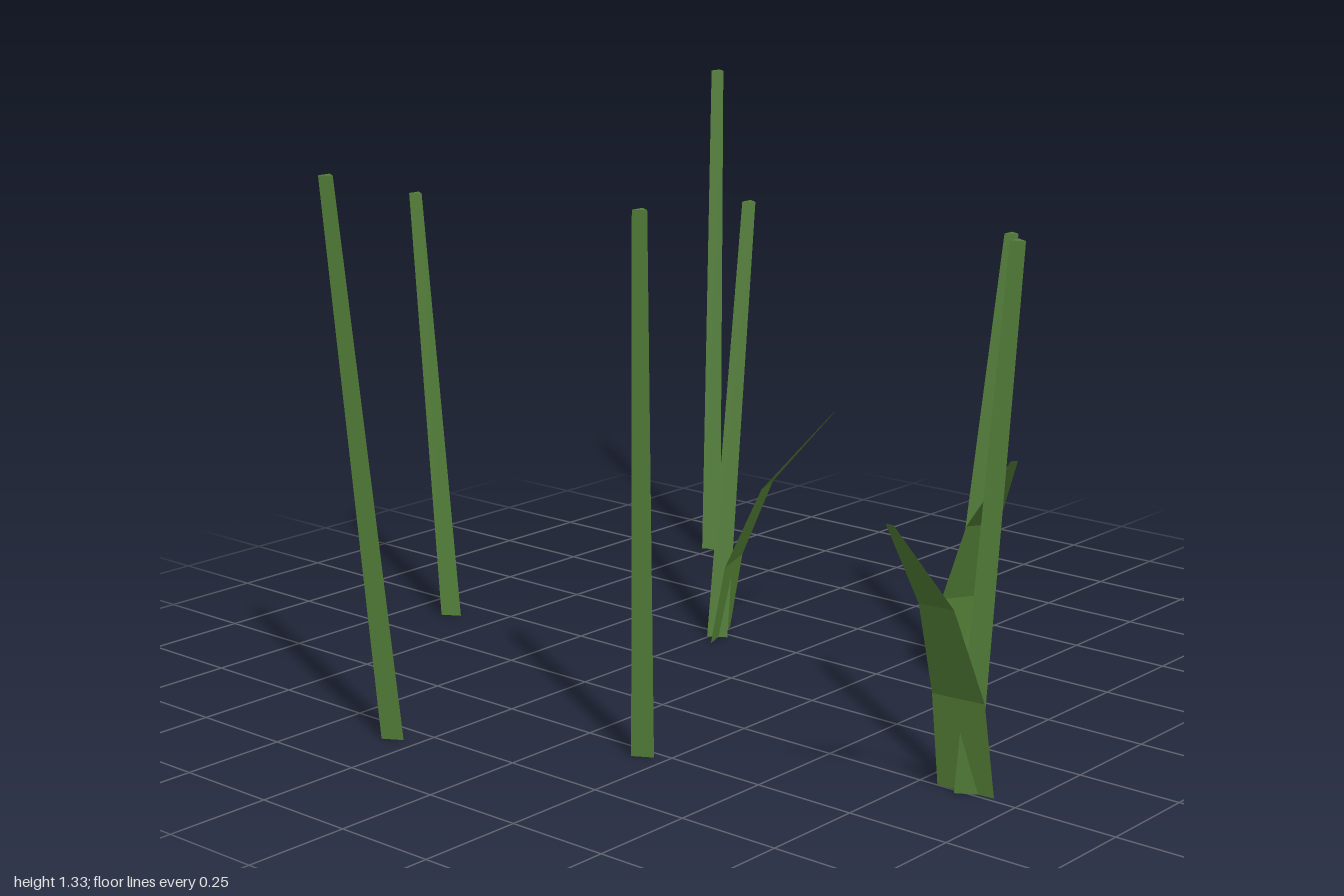
import * as THREE from 'three';

const stalkGreen = new THREE.MeshStandardMaterial({ name: 'stalkGreen', color: 0x54803a, flatShading: true });
const leafGreen = new THREE.MeshStandardMaterial({ name: 'leafGreen', color: 0x588639, flatShading: true, side: THREE.DoubleSide });

// Each reed: base x, base z, top x, top z, height
const REEDS = [
  [-0.807, -0.32, -0.934, -0.339, 1.3],
  [-0.523, 0.187, -0.612, 0.27, 1.25],
  [-0.24, 0.867, -0.27, 0.985, 1.22],
  [-0.079, -0.883, -0.067, -0.99, 1.093],
  [0.232, -0.24, 0.34, -0.229, 1.1],
  [0.407, 0.38, 0.47, 0.465, 1.08],
  [0.82, -0.765, 0.93, -0.835, 1.33],
];

// Each leaf: base x, base z, tip x, tip z, height
const LEAVES = [
  [-0.243, 0.866, -0.572, 0.898, 0.675],
  [0.235, -0.235, 0.337, 0.043, 0.605],
  [0.405, 0.385, 0.258, 0.632, 0.597],
];

// Tapered three-sided stem, sheared so its foot stays flat on the ground
function makeStalk([bx, bz, tx, tz, height]) {
  const geo = new THREE.CylinderGeometry(0.019, 0.03, height, 3).toNonIndexed();
  geo.translate(0, height / 2, 0);
  const pos = geo.attributes.position;
  for (let i = 0; i < pos.count; i++) {
    const t = pos.getY(i) / height;
    pos.setX(i, pos.getX(i) + bx + (tx - bx) * t);
    pos.setZ(i, pos.getZ(i) + bz + (tz - bz) * t);
  }
  geo.computeVertexNormals();
  return new THREE.Mesh(geo, stalkGreen);
}

// Flat blade of three segments: [height fraction, reach fraction, width]
const BLADE = [[0, 0, 0.14], [0.33, 0.12, 0.129], [0.67, 0.42, 0.085], [1, 1, 0.018]];

function makeLeaf([bx, bz, tx, tz, height]) {
  const dx = tx - bx, dz = tz - bz, reach = Math.hypot(dx, dz);
  const sideX = dz / reach, sideZ = -dx / reach;
  const points = [], index = [];
  BLADE.forEach(([h, r, width], row) => {
    for (const s of [-0.5, 0.5]) {
      points.push(bx + dx * r + sideX * width * s, height * h, bz + dz * r + sideZ * width * s);
    }
    if (row > 0) {
      const a = row * 2 - 2;
      index.push(a, a + 1, a + 3, a, a + 3, a + 2);
    }
  });
  let geo = new THREE.BufferGeometry();
  geo.setAttribute('position', new THREE.Float32BufferAttribute(points, 3));
  geo.setIndex(index);
  geo = geo.toNonIndexed();
  geo.computeVertexNormals();
  return new THREE.Mesh(geo, leafGreen);
}

export function createModel() {
  const group = new THREE.Group();
  group.name = 'reeds';
  REEDS.forEach((reed, i) => {
    const stalk = makeStalk(reed);
    stalk.name = `stalk${i + 1}`;
    group.add(stalk);
  });
  LEAVES.forEach((blade, i) => {
    const leaf = makeLeaf(blade);
    leaf.name = `leaf${i + 1}`;
    group.add(leaf);
  });
  return group;
}
